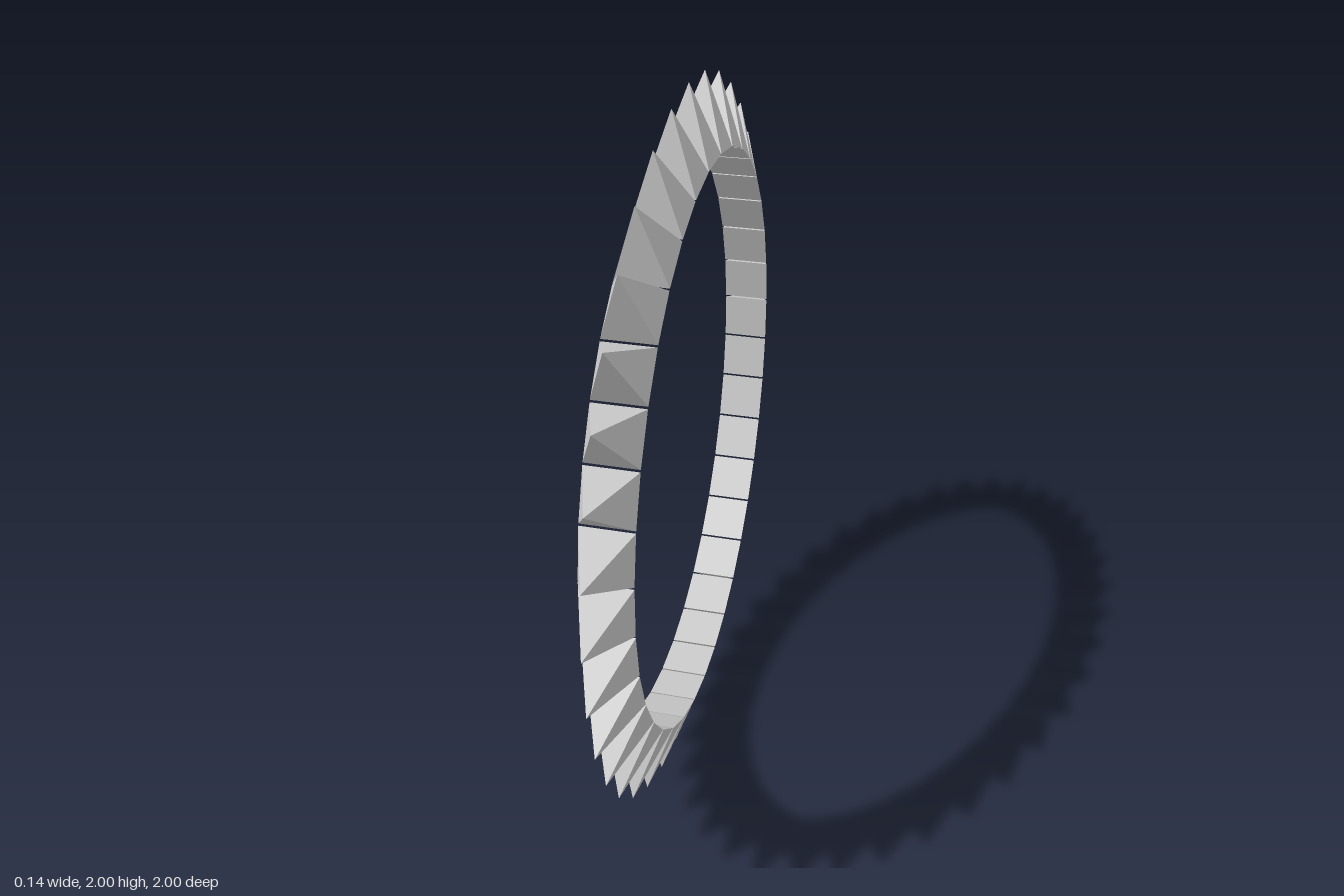
import * as THREE from 'three';

const COUNT = 36;
const TIP_RADIUS = 1;
const BASE_RADIUS = 0.803;
const BASE_WIDTH = 0.135;

export function createModel() {
  const model = new THREE.Group();
  model.name = 'spikedRing';
  const material = new THREE.MeshStandardMaterial({ color: 0xcccccc, flatShading: true });

  // Square pyramid with its base facing the ring centre
  const height = TIP_RADIUS - BASE_RADIUS;
  const spikeGeometry = new THREE.ConeGeometry(BASE_WIDTH / Math.SQRT2, height, 4);
  spikeGeometry.rotateY(Math.PI / 4);
  spikeGeometry.translate(0, BASE_RADIUS + height / 2, 0);

  // Spikes around the x axis, with a hairline gap between neighbours
  const ring = new THREE.Group();
  ring.name = 'ring';
  ring.position.y = TIP_RADIUS;
  for (let i = 0; i < COUNT; i++) {
    const spike = new THREE.Mesh(spikeGeometry, material);
    spike.name = `spike${i + 1}`;
    spike.rotation.x = (i / COUNT) * Math.PI * 2;
    ring.add(spike);
  }
  model.add(ring);
  return model;
}
